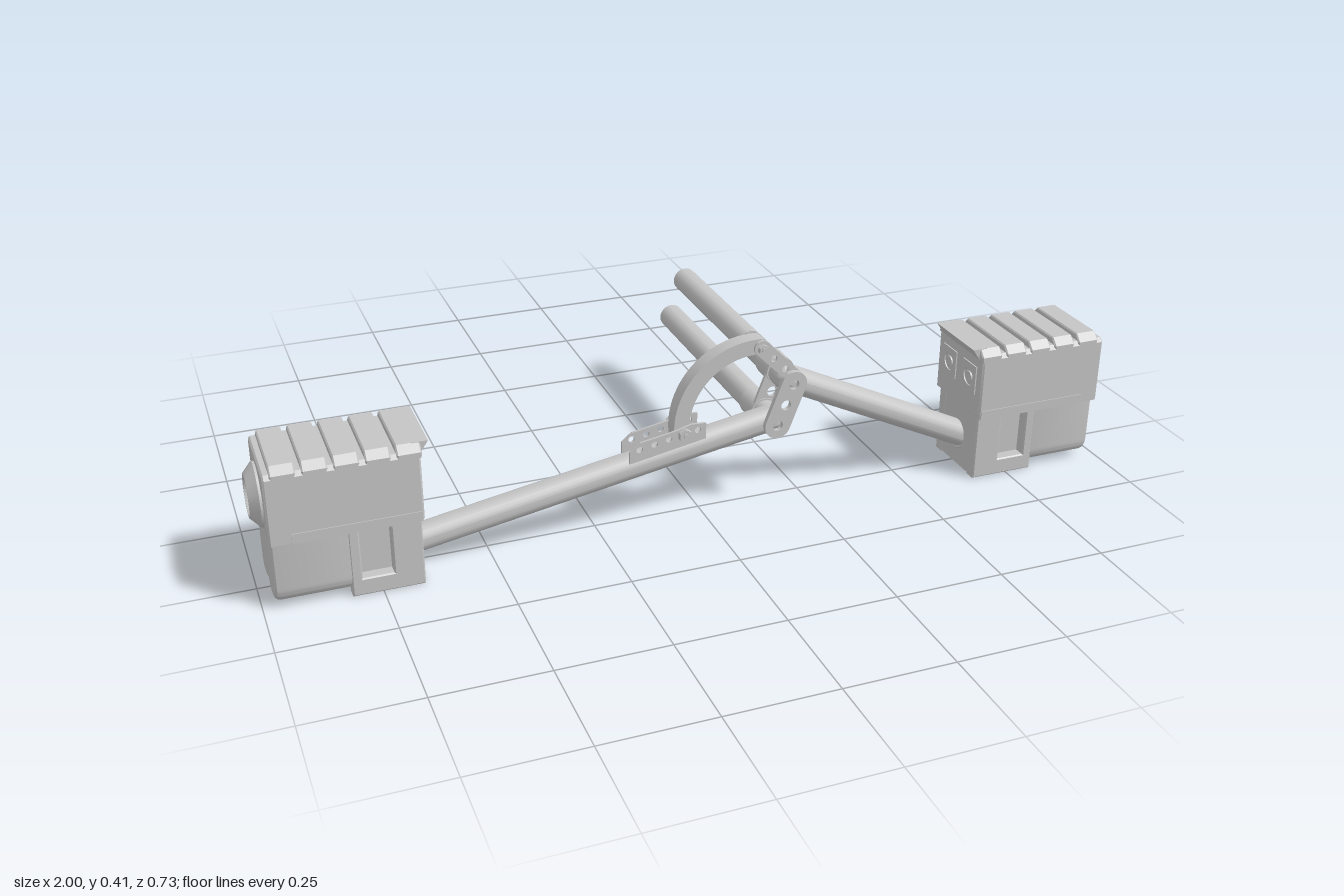
import * as THREE from 'three';
import { toCreasedNormals } from 'three/addons/utils/BufferGeometryUtils.js';

const Z = 0.265; // depth of the main frame plane
const V = (x, y, z) => new THREE.Vector3(x, y, z);
const grey = new THREE.MeshStandardMaterial({ color: 0xc4c4c4 });
grey.name = 'light grey metal';

function add(parent, name, geometry, x = 0, y = 0, z = 0) {
  const mesh = new THREE.Mesh(toCreasedNormals(geometry, 0.5), grey);
  mesh.name = name;
  mesh.position.set(x, y, z);
  parent.add(mesh);
  return mesh;
}

const polygon = pts => new THREE.Shape(pts.map(p => new THREE.Vector2(...p)));

function extrude(shape, depth, bevel = 0, bevelSegments = 1) {
  return new THREE.ExtrudeGeometry(shape, {
    depth: depth - 2 * bevel, curveSegments: 12, bevelEnabled: bevel > 0,
    bevelThickness: bevel, bevelSize: bevel, bevelOffset: -bevel, bevelSegments,
  }).translate(0, 0, bevel);
}

// Extrude a (z, y) outline from x0 to x1
function alongX(shape, x0, x1, bevel, bevelSegments) {
  return extrude(shape, x1 - x0, bevel, bevelSegments).rotateY(Math.PI / 2).translate(x0, 0, 0);
}

function hole(shape, x, y, r) {
  const path = new THREE.Path();
  path.absarc(x, y, r, 0, Math.PI * 2, true);
  shape.holes.push(path);
}

function rectHole(shape, x0, y0, x1, y1) {
  const path = new THREE.Path([[x0, y0], [x0, y1], [x1, y1], [x1, y0]].map(p => new THREE.Vector2(...p)));
  shape.holes.push(path);
}

// Round-ended strap from a to b with evenly spaced holes
function strap(a, b, r, holeCount, holeR) {
  const t = Math.atan2(b[1] - a[1], b[0] - a[0]), q = Math.PI / 2;
  const s = new THREE.Shape();
  s.absarc(b[0], b[1], r, t - q, t + q, false);
  s.absarc(a[0], a[1], r, t + q, t + 3 * q, false);
  for (let i = 0; i < holeCount; i++) {
    const k = i / (holeCount - 1);
    hole(s, a[0] + (b[0] - a[0]) * k, a[1] + (b[1] - a[1]) * k, holeR);
  }
  return s;
}

// Hollow open-ended pipe between two points
function pipe(parent, name, a, b, r, wall = 0.004) {
  const d = b.clone().sub(a), n = d.length();
  const pts = [[r - wall, 0], [r, 0], [r, n], [r - wall, n], [r - wall, 0]].map(p => new THREE.Vector2(...p));
  const m = add(parent, name, new THREE.LatheGeometry(pts, 24));
  m.position.copy(a);
  m.quaternion.setFromUnitVectors(V(0, 1, 0), d.normalize());
}

// Hex-headed bolt through the frame plane
function bolt(parent, x, y, headR) {
  add(parent, 'boltShaft', new THREE.CylinderGeometry(0.006, 0.006, 0.096, 10).rotateX(Math.PI / 2), x, y, Z);
  for (const s of [-1, 1])
    add(parent, 'boltHead', new THREE.CylinderGeometry(headR, headR, 0.012, 6).rotateX(Math.PI / 2), x, y, Z + s * 0.038);
}

// End housing, built on the +x side around z = 0
function housing(name) {
  const g = new THREE.Group();
  g.name = name;
  g.position.z = Z;

  // Upper casing, flange and ribbed lid
  const casing = polygon([[-0.1, 0.16], [0.1, 0.16], [0.1, 0.31], [0.092, 0.32], [-0.092, 0.32], [-0.1, 0.31]]);
  add(g, 'upperCasing', alongX(casing, 0.655, 0.975, 0.004));
  add(g, 'flange', new THREE.BoxGeometry(0.27, 0.022, 0.204), 0.795, 0.171, 0);
  const rib = polygon([[-0.1, 0.305], [0.1, 0.305], [0.1, 0.318], [0.084, 0.335], [-0.084, 0.335], [-0.1, 0.318]]);
  for (let i = 0; i < 5; i++) {
    const x = 0.652 + i * 0.064;
    add(g, 'lidRib', alongX(rib, x, x + 0.052, 0.003));
  }
  const lip = polygon([[0.635, 0.335], [0.655, 0.305], [0.67, 0.305], [0.67, 0.335]]);
  add(g, 'lidLip', extrude(lip, 0.17).translate(0, 0, -0.085));

  // Round end cap with a shallow recess
  const cap = [[0.07, 0], [0.07, 0.008], [0.048, 0.028], [0.042, 0.028], [0.04, 0.022], [0, 0.022]];
  add(g, 'endCap', new THREE.LatheGeometry(cap.map(p => new THREE.Vector2(...p)), 14).rotateZ(-Math.PI / 2), 0.972, 0.232, 0);

  // Paired lower lobes with rounded bottoms
  for (const s of [-1, 1]) {
    const c = s * 0.044, w = 0.0435, r = 0.038, lobe = new THREE.Shape();
    lobe.moveTo(c - w, 0.175);
    lobe.lineTo(c - w, 0.012 + r);
    lobe.quadraticCurveTo(c - w, 0.012, c - w + r, 0.012);
    lobe.lineTo(c + w - r, 0.012);
    lobe.quadraticCurveTo(c + w, 0.012, c + w, 0.012 + r);
    lobe.lineTo(c + w, 0.175);
    add(g, 'lowerLobe', alongX(lobe, 0.8, 0.975, 0.014, 3));
  }
  add(g, 'lobeCore', new THREE.BoxGeometry(0.26, 0.13, 0.04), 0.83, 0.1, 0);

  // Foot block with a recessed window on each side
  add(g, 'footBlock', new THREE.BoxGeometry(0.15, 0.163, 0.124), 0.7375, 0.083, 0);
  const frame = polygon([[0.66, 0], [0.815, 0], [0.815, 0.165], [0.66, 0.165]]);
  rectHole(frame, 0.725, 0.04, 0.792, 0.152);
  for (const s of [-1, 1])
    add(g, 'windowFrame', extrude(frame, 0.03, 0.003).translate(0, 0, s > 0 ? 0.059 : -0.089));
  add(g, 'footBase', new THREE.BoxGeometry(0.15, 0.01, 0.17), 0.7375, 0.006, 0);

  // Inner-face connectors
  for (const s of [-1, 1]) {
    const plate = polygon([[-0.03, -0.035], [0.03, -0.035], [0.03, 0.035], [-0.03, 0.035]]);
    hole(plate, 0, 0, 0.022);
    add(g, 'connectorPlate', alongX(plate, 0, 0.008), 0.652, 0.25, s * 0.045);
    add(g, 'connectorPin', new THREE.CylinderGeometry(0.013, 0.013, 0.008, 12).rotateZ(Math.PI / 2), 0.655, 0.25, s * 0.045);
  }
  return g;
}

export function createModel() {
  const model = new THREE.Group();
  model.name = 'hingedFrame';

  // Two identical housings facing outward
  const left = housing('leftHousing'), right = housing('rightHousing');
  right.rotation.y = Math.PI;
  model.add(left, right);

  // Side arms and rearward tubes meeting at two elbows
  const low = V(0.168, 0.206, Z), high = V(0.205, 0.302, Z);
  const arms = [['right', low, V(-0.69, 0.056, Z)], ['left', high, V(0.69, 0.068, Z)]];
  for (const [side, elbow, end] of arms) {
    const dir = end.clone().sub(elbow).normalize();
    pipe(model, side + 'Arm', elbow, end, 0.031);
    pipe(model, side + 'ArmCollar', end.clone().addScaledVector(dir, -0.02), end, 0.036, 0.006);
    pipe(model, side + 'RearTube', elbow, V(elbow.x, elbow.y, -0.365), 0.03);
    pipe(model, side + 'RearCollar', V(elbow.x, elbow.y, 0.235), V(elbow.x, elbow.y, 0.17), 0.034, 0.006);
    add(model, side + 'Elbow', new THREE.SphereGeometry(0.031, 24, 16), elbow.x, elbow.y, elbow.z);
  }

  // Hinge plates joining the elbows
  for (const [z, depth] of [[0.224, 0.008], [0.298, 0.012]])
    add(model, 'hingePlate', extrude(strap([low.x, low.y], [high.x, high.y], 0.031, 3, 0.012), depth), 0, 0, z);

  // Curved adjusting arm
  const arc = new THREE.Shape();
  arc.absarc(0.12, 0.222, 0.192, 1.5, Math.PI + 0.12, false);
  arc.absarc(0.12, 0.222, 0.156, Math.PI + 0.12, 1.5, true);
  add(model, 'curvedArm', extrude(arc, 0.037), 0, 0, 0.2465);
  add(model, 'curvedArmEnd', new THREE.CylinderGeometry(0.018, 0.018, 0.037, 16).rotateX(Math.PI / 2), 0.13, 0.396, Z);

  // Perforated bracket and link straps on each side of the curved arm
  const bracket = polygon([[-0.18, 0.165], [0, 0.198], [0, 0.236], [-0.035, 0.238], [-0.07, 0.228], [-0.155, 0.213], [-0.18, 0.193]]);
  for (const [x, y] of [[-0.157, 0.197], [-0.122, 0.204], [-0.088, 0.211], [-0.053, 0.218], [-0.02, 0.222]])
    hole(bracket, x, y, 0.0075);
  for (const s of [-1, 1]) {
    add(model, 'bracketPlate', extrude(bracket, 0.006), 0, 0, Z + s * 0.027 - 0.003);
    add(model, 'linkStrap', extrude(strap([0.13, 0.397], [0.215, 0.31], 0.018, 4, 0.008), 0.006), 0, 0, Z + s * 0.03 - 0.003);
  }
  bolt(model, 0.13, 0.397, 0.012);
  bolt(model, -0.053, 0.218, 0.016);

  return model;
}
